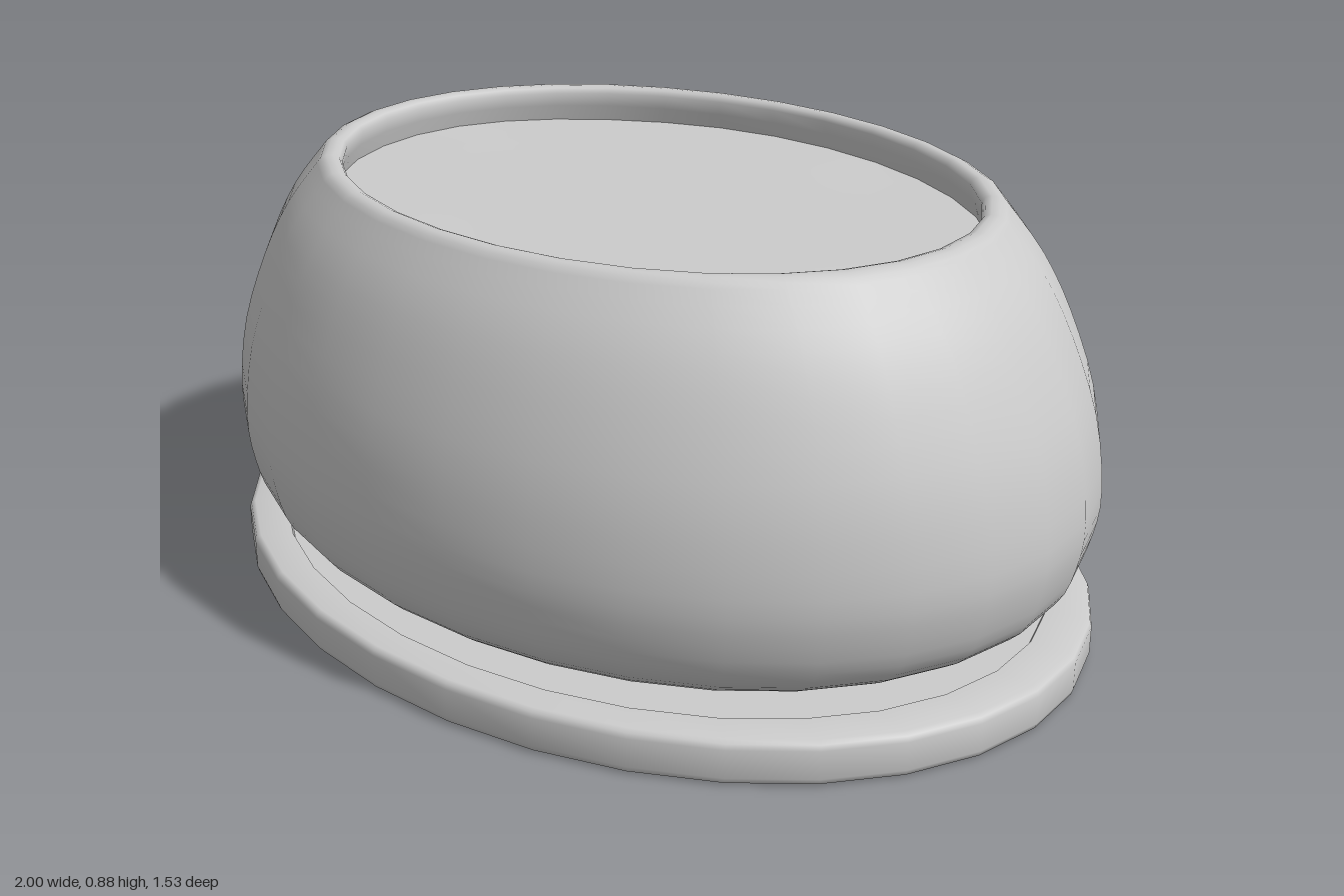
import * as THREE from 'three';
import { toCreasedNormals } from 'three/addons/utils/BufferGeometryUtils.js';

const DEPTH_RATIO = 0.763; // oval: depth relative to width
const SIDES = 32;

// Revolve a profile, squash it to an oval, keep hard edges crisp
function ovalLathe(name, profile, adjust) {
  const points = profile.map(([x, y]) => new THREE.Vector2(x, y));
  const geometry = new THREE.LatheGeometry(points, SIDES);
  geometry.scale(1, 1, DEPTH_RATIO);
  if (adjust) {
    const p = geometry.attributes.position;
    for (let i = 0; i < p.count; i++) p.setY(i, p.getY(i) + adjust(p.getX(i), p.getZ(i)));
  }
  const material = new THREE.MeshStandardMaterial({ color: 0xcccccc, side: THREE.DoubleSide });
  const mesh = new THREE.Mesh(toCreasedNormals(geometry, 0.9), material);
  mesh.name = name;
  return mesh;
}

export function createModel() {
  const model = new THREE.Group();
  model.name = 'ovalPlanter';

  // Saucer: rounded ring with a thin floor, hollow underneath
  model.add(ovalLathe('saucer', [
    [0, 0.068], [0.9, 0.068], [0.91, 0], [0.985, 0], [0.996, 0.005], [1, 0.016],
    [1, 0.074], [0.996, 0.085], [0.985, 0.09], [0.905, 0.09], [0.9, 0.08], [0, 0.08],
  ]));

  // Pot: full belly drawn as a smooth curve, low on the saucer and narrowing to the lip
  const belly = new THREE.SplineCurve([
    [0.7, 0.081], [0.785, 0.094], [0.87, 0.128], [0.95, 0.187], [0.985, 0.27], [0.996, 0.37],
    [0.972, 0.52], [0.913, 0.67], [0.85, 0.78], [0.775, 0.868],
  ].map(([x, y]) => new THREE.Vector2(x, y))).getPoints(27).map((p) => [p.x, p.y]);
  const lip = [
    [0.766, 0.878], [0.752, 0.884], [0.735, 0.885], [0.722, 0.881], [0.715, 0.87],
    [0.722, 0.84], [0.74, 0.78],
  ];
  model.add(ovalLathe('pot', [[0, 0.081], ...belly, ...lip]));

  // Soil: nearly flat fill with a gentle unevenness
  const rings = [0.738, 0.65, 0.55, 0.45, 0.35, 0.25, 0.12, 0];
  model.add(ovalLathe('soil', rings.map((r) => [r, 0.805]),
    (x, z) => 0.003 * Math.sin(5 * x + 2 * z) * Math.cos(7 * z - x)));

  return model;
}
